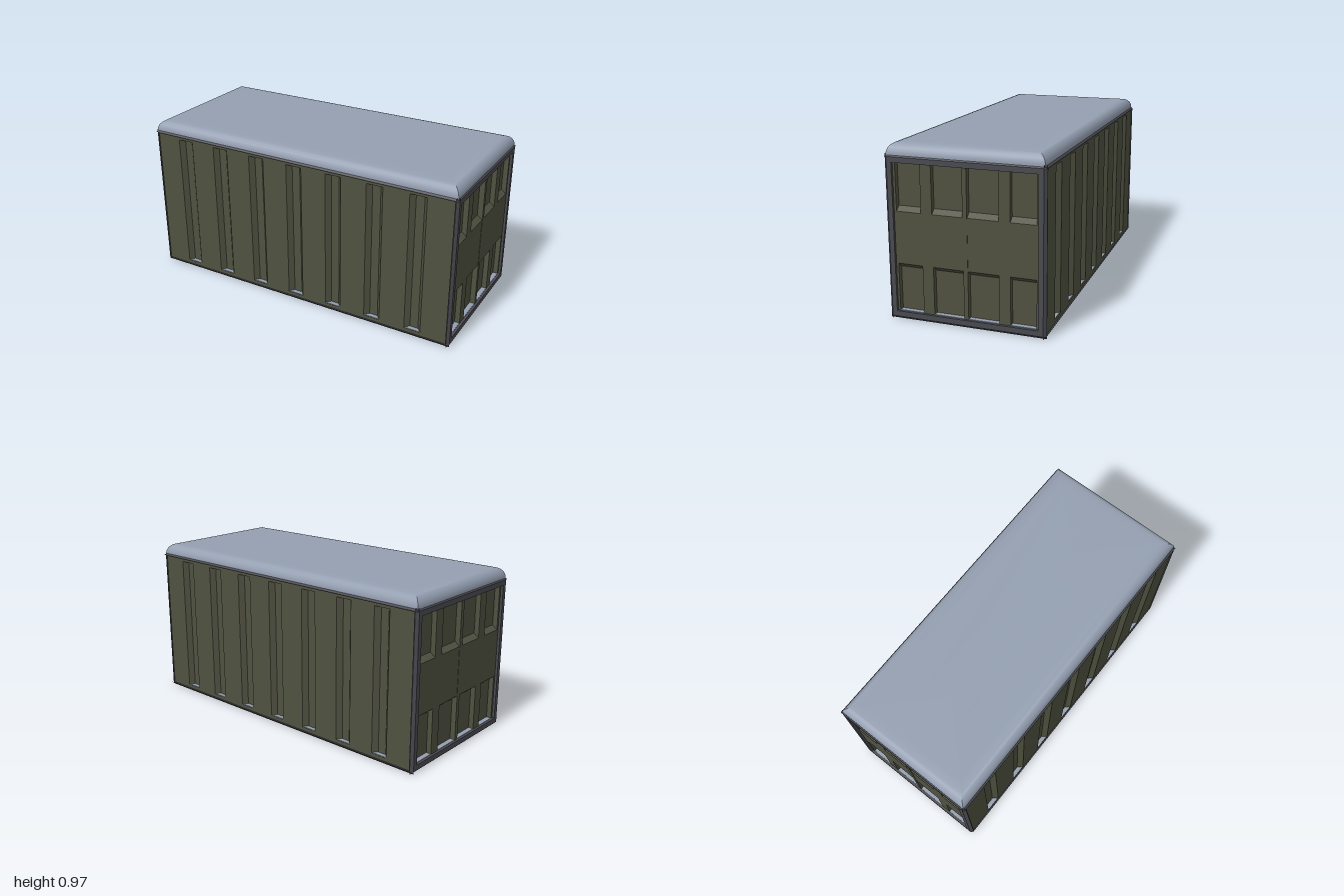
import * as THREE from 'three';
import { toCreasedNormals } from 'three/addons/utils/BufferGeometryUtils.js';

const paint = (color) => new THREE.MeshStandardMaterial({ color, roughness: 0.8 });
const OLIVE = paint(0x4f5140), FRAME = paint(0x494a50), LIGHT = paint(0x949fb1);

const HX = 1, HZ = 0.445, TOP = 0.915, MID = TOP / 2, CH = 0.015;

function add(parent, name, geo, mat, x = 0, y = 0, z = 0) {
  const mesh = new THREE.Mesh(geo, mat);
  mesh.name = name;
  mesh.position.set(x, y, z);
  parent.add(mesh);
  return mesh;
}

const box = (w, h, d) => new THREE.BoxGeometry(w, h, d);

// Joins rectangular rings [halfWidth, halfHeight, z] into a surface facing +z
function rectLoft(rings, crease) {
  const pos = [], index = [];
  for (const [a, b, z] of rings) pos.push(a, b, z, -a, b, z, -a, -b, z, a, -b, z);
  for (let i = 0; i < rings.length - 1; i++) {
    for (let k = 0; k < 4; k++) {
      const p = i * 4 + k, q = i * 4 + (k + 1) % 4;
      index.push(p, q, q + 4, p, q + 4, p + 4);
    }
  }
  const geo = new THREE.BufferGeometry();
  geo.setAttribute('position', new THREE.Float32BufferAttribute(pos, 3));
  geo.setIndex(index);
  return toCreasedNormals(geo, crease);
}

// Chamfered border of one face, with an opening that steps back inside
function border(a, b, z, wa, wb, depth) {
  return rectLoft([
    [a, b, z - CH], [a - CH, b - CH, z], [a - wa, b - wb, z], [a - wa, b - wb, z - depth],
  ], 0.01);
}

// Long wall with seven vertical channels, facing +z
function longSide() {
  const g = new THREE.Group();
  const out = 0.438, floor = 0.41, bottom = 0.04, top = 0.88;
  add(g, 'sideFrame', border(HX, MID, HZ, 0.02, 0.018, 0.03), FRAME, 0, MID, 0);

  const shape = new THREE.Shape();
  shape.moveTo(-0.985, -0.39);
  shape.lineTo(-0.985, -out);
  for (let i = -3; i <= 3; i++) {
    const x = i * 0.258;
    shape.lineTo(x - 0.05, -out);
    shape.lineTo(x - 0.025, -floor);
    shape.lineTo(x + 0.025, -floor);
    shape.lineTo(x + 0.05, -out);
  }
  shape.lineTo(0.985, -out);
  shape.lineTo(0.985, -0.39);
  const panel = new THREE.ExtrudeGeometry(shape, { depth: top - bottom, bevelEnabled: false });
  panel.rotateX(-Math.PI / 2);
  add(g, 'sidePanel', panel, OLIVE, 0, bottom, 0);

  // plain strips closing the channels, and the pale sill at their feet
  add(g, 'lowerStrip', box(1.97, 0.03, 0.048), OLIVE, 0, 0.025, out - 0.024);
  add(g, 'upperStrip', box(1.97, 0.02, 0.048), OLIVE, 0, 0.89, out - 0.024);
  add(g, 'channelSill', box(1.96, 0.003, 0.04), LIGHT, 0, 0.0415, 0.416);
  return g;
}

// End wall with two rows of recesses, facing +z before it is turned
function endSide() {
  const g = new THREE.Group();
  const out = 0.985, floor = 0.955, hw = 0.404, y0 = 0.045, y1 = 0.872;
  add(g, 'endFrame', border(HZ, MID, HX, 0.042, 0.045, 0.05), FRAME, 0, MID, 0);
  add(g, 'endPanel', box(hw * 2, y1 - y0, 0.02), OLIVE, 0, (y0 + y1) / 2, floor - 0.01);

  // middle band with sloping upper and lower edges
  const band = new THREE.Shape([
    [floor, 0.29], [out, 0.315], [out, 0.605], [floor, 0.63],
  ].map(([x, y]) => new THREE.Vector2(x, y)));
  const bandGeo = new THREE.ExtrudeGeometry(band, { depth: hw * 2, bevelEnabled: false });
  bandGeo.rotateY(-Math.PI / 2);
  add(g, 'endBand', bandGeo, OLIVE, hw, 0, 0);

  for (const [x, w, proud] of [[-0.217, 0.063, 0], [0, 0.025, 0.002], [0.217, 0.063, 0]]) {
    const d = out - floor + proud;
    add(g, 'endRib', box(w, y1 - y0, d), OLIVE, x, (y0 + y1) / 2, floor + d / 2);
  }
  add(g, 'endSill', box(hw * 2, 0.003, 0.029), LIGHT, 0, y0 + 0.001, floor + 0.0145);
  return g;
}

export function createModel() {
  const model = new THREE.Group();
  model.name = 'container';

  // matching walls on opposite sides
  [['frontSide', longSide, 0], ['backSide', longSide, Math.PI],
    ['leftEnd', endSide, Math.PI / 2], ['rightEnd', endSide, -Math.PI / 2]].forEach(([name, make, turn]) => {
    const side = make();
    side.name = name;
    side.rotation.y = turn;
    model.add(side);
  });

  // underside with eight cross ribs
  const rim = add(model, 'baseFrame', border(HX, HZ, 0, 0.035, 0.035, 0.02), FRAME);
  rim.rotation.x = Math.PI / 2;
  add(model, 'floorPanel', box(1.94, 0.02, 0.83), OLIVE, 0, 0.022, 0);
  for (const x of [0.72, 0.3, -0.27, -0.69]) {
    for (const dx of [-0.052, 0.052]) {
      const rib = new THREE.CylinderGeometry(0.5 * Math.SQRT2, 0.3 * Math.SQRT2, 1, 4, 1);
      rib.rotateY(Math.PI / 4);
      rib.scale(0.035, 0.01, 0.67);
      add(model, 'floorRib', toCreasedNormals(rib, 0.01), OLIVE, x + dx, 0.008, 0);
    }
  }

  // upper frame and soft-edged roof
  const deck = add(model, 'topFrame', rectLoft([
    [HX, HZ, -CH], [HX - CH, HZ - CH, 0], [0.9, 0.35, 0],
  ], 0.01), FRAME, 0, TOP, 0);
  deck.rotation.x = -Math.PI / 2;

  const inset = [[0, 0.902], [0, 0.918], [0.003, 0.932], [0.01, 0.947], [0.022, 0.961],
    [0.037, 0.97], [0.055, 0.974], [0.1, 0.9745], [0.3, 0.972], [0.434, 0.971]];
  const roof = add(model, 'roof', rectLoft(inset.map(([d, y]) => [0.993 - d, 0.435 - d, y]), 0.7), LIGHT);
  roof.rotation.x = -Math.PI / 2;
  // fills the narrow slot along the ridge
  add(model, 'roofRidge', box(1.118, 0.01, 0.004), LIGHT, 0, 0.966, 0);
  return model;
}
